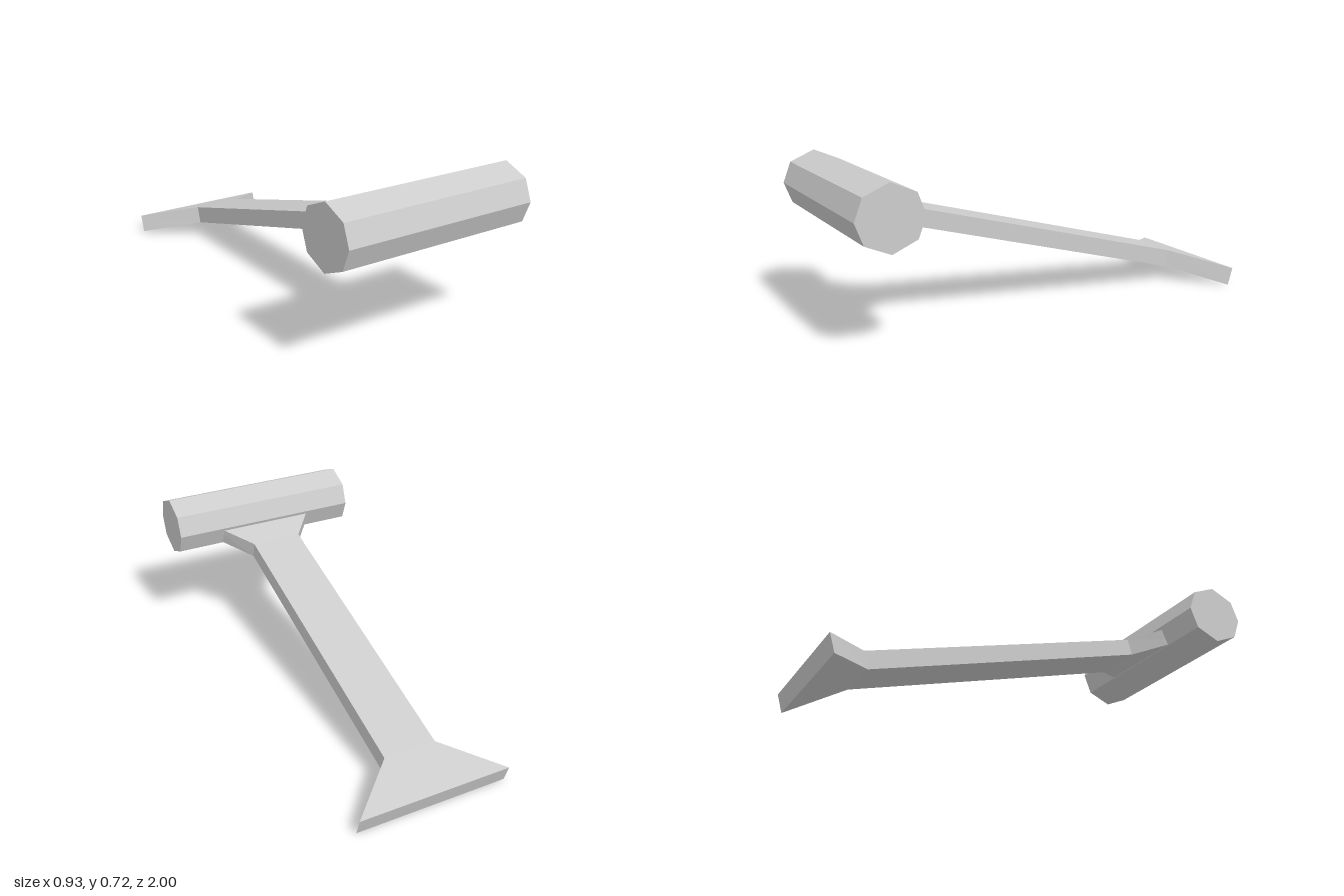
import * as THREE from 'three';

// Skins a closed body through rings of equal point count (counterclockwise seen
// from the end, listed from start to end) and caps both ends.
function loft(rings) {
  const n = rings[0].length;
  const index = [];
  for (let i = 0; i < rings.length - 1; i++) {
    for (let j = 0; j < n; j++) {
      const a = i * n + j, b = i * n + (j + 1) % n;
      index.push(a, b, b + n, a, b + n, a + n);
    }
  }
  const last = (rings.length - 1) * n;
  for (let j = 1; j < n - 1; j++) {
    index.push(0, j + 1, j, last, last + j, last + j + 1);
  }
  const geometry = new THREE.BufferGeometry();
  geometry.setAttribute('position', new THREE.Float32BufferAttribute(rings.flat(2), 3));
  geometry.setIndex(index);
  const flat = geometry.toNonIndexed();
  flat.computeVertexNormals();
  return flat;
}

export function createModel() {
  const group = new THREE.Group();
  const grey = new THREE.MeshStandardMaterial({ color: 0xcccccc });
  grey.name = 'grey';
  grey.flatShading = true;

  // Sloping handle, flared at the foot and where it enters the head:
  // half width, top z, top y, bottom z, bottom y
  const sections = [
    [0.357, -1.0, 0.083, -0.975, 0.0],
    [0.123, -0.78, 0.15, -0.758, 0.07],
    [0.123, 0.577, 0.52, 0.597, 0.443],
    [0.29, 0.785, 0.583, 0.81, 0.505],
  ];
  const handle = new THREE.Mesh(loft(sections.map(([w, zt, yt, zb, yb]) => [
    [-w, yt, zt], [-w, yb, zb], [w, yb, zb], [w, yt, zt],
  ])), grey);
  handle.name = 'handle';
  group.add(handle);

  // Eight-sided head lying across the handle
  const profile = [
    [0, 0.142], [-0.112, 0.094], [-0.148, 0], [-0.112, -0.094],
    [0, -0.142], [0.112, -0.094], [0.148, 0], [0.112, 0.094],
  ];
  const head = new THREE.Mesh(loft([-0.463, 0.463].map(
    (x) => profile.map(([z, y]) => [x, y, -z]).reverse().map(([px, y, z]) => [px, y, -z]).reverse()
      .map(([px, y, z]) => [px, y, z]).reverse(),
  )), grey);
  head.name = 'head';
  head.position.set(0, 0.575, 0.852);
  group.add(head);

  return group;
}
